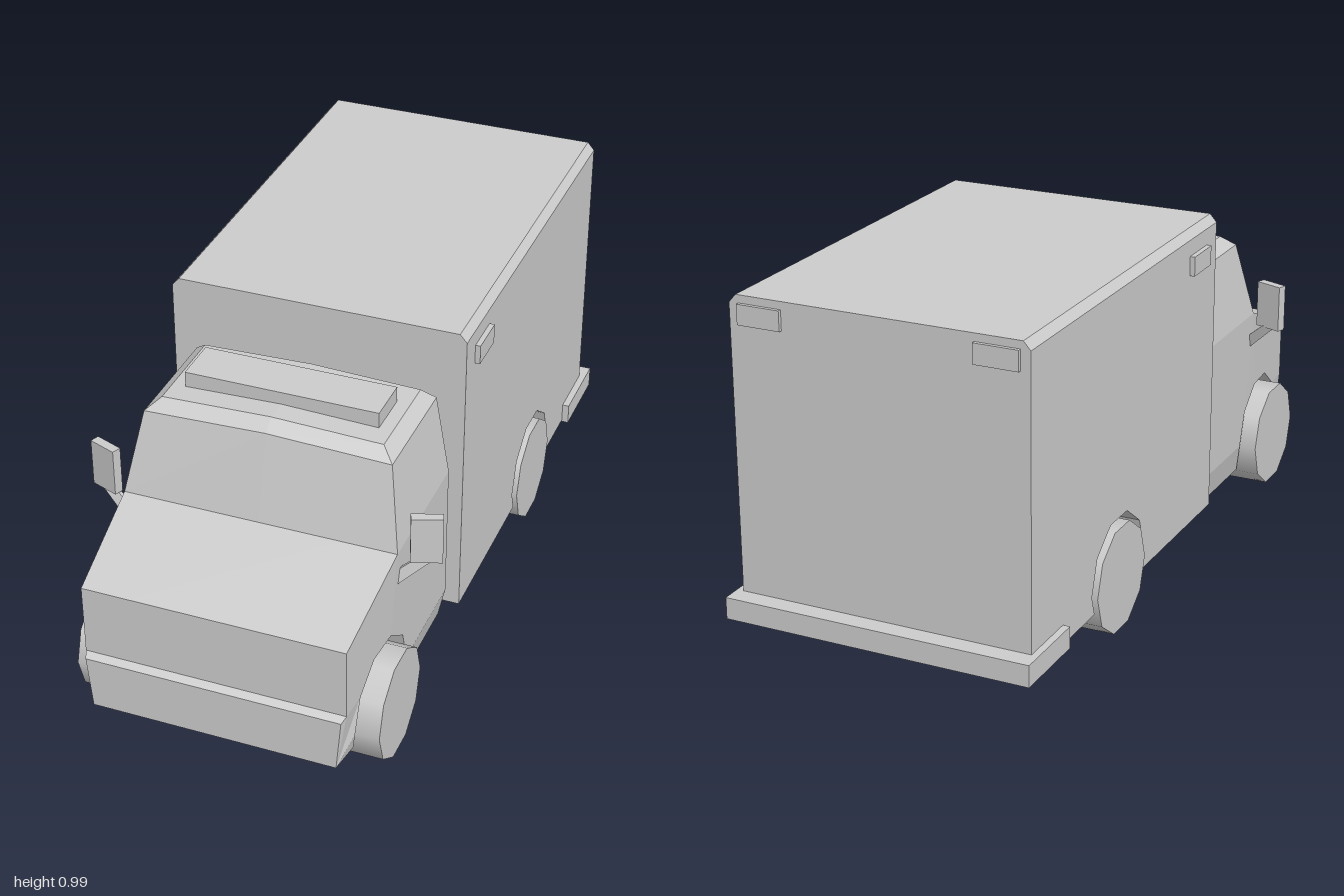
import * as THREE from 'three';

const flat = new THREE.MeshStandardMaterial({ color: 0xcccccc, flatShading: true });
const smooth = new THREE.MeshStandardMaterial({ color: 0xcccccc });

const WELL_X = 0.235;            // inner wall of the wheel wells
const ARCH_R = 0.172, ARCH_Y = 0.16;
const FRONT_AXLE = 0.757, REAR_AXLE = -0.41;
const clamp01 = (v) => Math.min(1, Math.max(0, v));

function add(parent, name, geometry, material = flat) {
  const mesh = new THREE.Mesh(geometry, material);
  mesh.name = name;
  parent.add(mesh);
  return mesh;
}

function addBox(parent, name, size, pos) {
  const mesh = add(parent, name, new THREE.BoxGeometry(...size));
  mesh.position.set(...pos);
  return mesh;
}

// Side profile of [z, y] points stretched across x, from xLow(y, z) to xHigh(y, z)
function sideSlab(points, xLow, xHigh) {
  const shape = new THREE.Shape(points.map(([z, y]) => new THREE.Vector2(z, y)));
  const geo = new THREE.ExtrudeGeometry(shape, { depth: 1, bevelEnabled: false });
  const p = geo.attributes.position;
  for (let i = 0; i < p.count; i++) {
    const z = p.getX(i), y = p.getY(i), t = p.getZ(i);
    p.setXYZ(i, THREE.MathUtils.lerp(xHigh(y, z), xLow(y, z), t), y, z);
  }
  geo.computeVertexNormals();
  return geo;
}

// Ten-sided wheel arch notch, running from front to rear along the bottom edge
function arch(axle, yFront, yRear) {
  const reach = (y) => ARCH_R * (1 - 0.191 * (ARCH_Y - y) / 0.101);
  const pts = [[axle + reach(yFront), yFront]];
  for (let k = 0; k <= 5; k++) {
    const a = k * Math.PI / 5;
    pts.push([axle + ARCH_R * Math.cos(a), ARCH_Y + ARCH_R * Math.sin(a)]);
  }
  pts.push([axle - reach(yRear), yRear]);
  return pts;
}

// Full-height centre slab plus two notched side slabs
function notchedBody(parent, name, plain, notched, half) {
  const inner = () => WELL_X;
  add(parent, name + 'Centre', sideSlab(plain, () => -WELL_X, inner));
  add(parent, name + 'LeftSide', sideSlab(notched, inner, half));
  add(parent, name + 'RightSide', sideSlab(notched, (y, z) => -half(y, z), () => -WELL_X));
}

// Cabin shell lofted through horizontal rings, with a slight crown on the centre line
function cabinGeometry() {
  const rings = [ // y, half width, back z, front z, crown
    [0.565, 0.39, 0.265, 0.668, 0],
    [0.795, 0.35, 0.265, 0.605, 0.012],
    [0.826, 0.313, 0.29, 0.568, 0.01],
  ];
  const pos = [], idx = [];
  for (const [y, x, zb, zf, c] of rings) {
    pos.push(-x, y, zf, 0, y + c, zf, x, y, zf, x, y, zb, 0, y + c, zb, -x, y, zb);
  }
  for (let r = 0; r < rings.length - 1; r++) {
    for (let i = 0; i < 6; i++) {
      const a = r * 6 + i, b = r * 6 + (i + 1) % 6;
      idx.push(a, b, b + 6, a, b + 6, a + 6);
    }
  }
  const t = (rings.length - 1) * 6;
  idx.push(t, t + 1, t + 4, t, t + 4, t + 5, t + 1, t + 2, t + 3, t + 1, t + 3, t + 4);
  const geo = new THREE.BufferGeometry();
  geo.setAttribute('position', new THREE.Float32BufferAttribute(pos, 3));
  geo.setIndex(idx);
  geo.computeVertexNormals();
  return geo;
}

function createCab() {
  const cab = new THREE.Group();
  cab.name = 'cab';
  // Sides taper towards the nose and tuck in along the sill
  const half = (y, z) => 0.39 - 0.02 * clamp01((z - 0.67) / 0.31)
    - (z > 0.985 ? 0.008 : 0) - 0.02 * clamp01((0.16 - y) / 0.09);
  const upper = [[0.265, 0.068], [0.265, 0.16], [0.265, 0.565], [0.668, 0.565],
    [0.98, 0.468], [0.98, 0.262], [1.0, 0.25], [1.0, 0.097]];
  notchedBody(cab, 'cabBody',
    [...upper, [0.92, 0.095], [0.6, 0.068]],
    [...upper, ...arch(FRONT_AXLE, 0.096, 0.068)], half);
  add(cab, 'cabin', cabinGeometry());
  addBox(cab, 'lightBar', [0.55, 0.05, 0.135], [0, 0.847, 0.435]);
  return cab;
}

function createCargoBox() {
  const box = new THREE.Group();
  box.name = 'cargoBox';
  const front = 0.247, back = -0.945, low = 0.105, eave = 0.97, top = 0.993, w = 0.425;
  const outline = [[back, low], [back, eave], [front, eave], [front, low]];
  notchedBody(box, 'cargoBody', outline, [...outline, ...arch(REAR_AXLE, low, low)], () => w);

  // Roof with chamfered long edges
  const roof = new THREE.Shape([[-w, eave], [w, eave], [w - 0.02, top], [-w + 0.02, top]]
    .map(([x, y]) => new THREE.Vector2(x, y)));
  const geo = new THREE.ExtrudeGeometry(roof, { depth: front - back, bevelEnabled: false });
  add(box, 'cargoRoof', geo.translate(0, 0, back));

  addBox(box, 'rearBumper', [0.89, 0.062, 0.24], [0, 0.131, -0.88]);
  for (const s of [1, -1]) {
    addBox(box, 'sideLamp', [0.025, 0.056, 0.12], [s * 0.427, 0.895, 0.115]);
    addBox(box, 'rearLamp', [0.125, 0.056, 0.025], [s * 0.335, 0.943, -0.943]);
  }
  return box;
}

function createMirror(s) {
  const mirror = new THREE.Group();
  mirror.name = s > 0 ? 'leftMirror' : 'rightMirror';
  addBox(mirror, 'mirrorHead', [0.085, 0.138, 0.027], [s * 0.457, 0.61, 0.633]).rotation.y = s * 0.36;
  // Slanted bracket, leaning back as it rises
  const bracket = new THREE.Shape([[0.38, 0.455], [0.475, 0.545], [0.435, 0.545], [0.38, 0.497]]
    .map(([x, y]) => new THREE.Vector2(s * x, y)));
  const geo = new THREE.ExtrudeGeometry(bracket, { depth: 0.012, bevelEnabled: false });
  const p = geo.attributes.position;
  for (let i = 0; i < p.count; i++) {
    p.setZ(i, p.getZ(i) + 0.65 - 0.3 * (p.getY(i) - 0.46));
  }
  geo.computeVertexNormals();
  add(mirror, 'mirrorBracket', geo);
  return mirror;
}

export function createModel() {
  const model = new THREE.Group();
  model.name = 'boxVan';
  model.add(createCab(), createCargoBox());

  // Ten-sided wheels and mirrors on both sides
  const wheel = new THREE.CylinderGeometry(0.157, 0.157, 0.18, 10).rotateZ(Math.PI / 2);
  for (const s of [1, -1]) {
    model.add(createMirror(s));
    add(model, 'frontWheel', wheel, smooth).position.set(s * 0.345, 0.15, FRONT_AXLE);
    add(model, 'rearWheel', wheel, smooth).position.set(s * 0.345, 0.15, REAR_AXLE);
  }
  // Rear edge of the bumper sits at z = -1
  return model;
}
